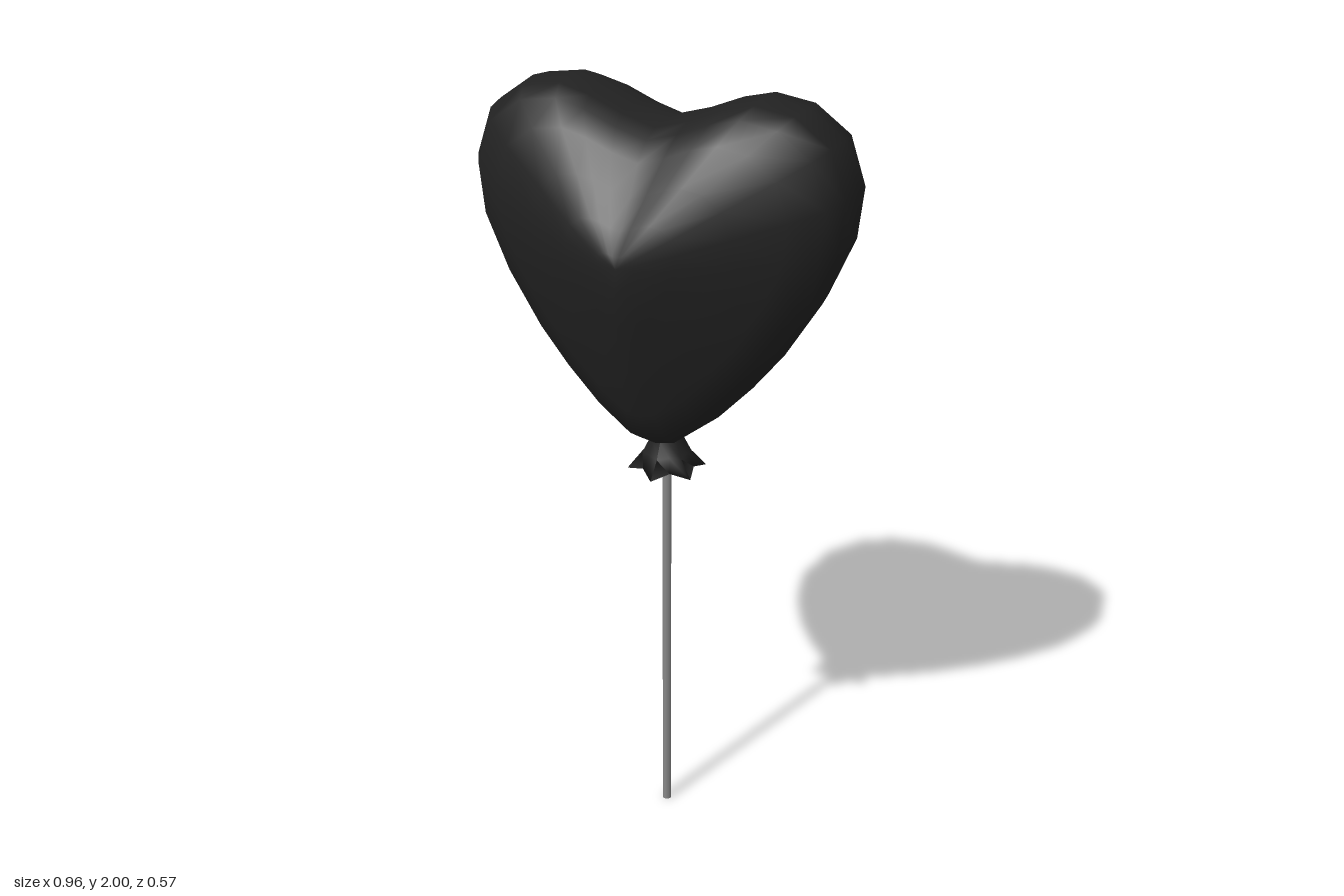
import * as THREE from 'three';
import { mergeVertices } from 'three/addons/utils/BufferGeometryUtils.js';

const CENTRE_Y = 1.64;

// Right half of the heart outline, from the top dip down to the tip
const HALF = [
  [0, 1.92], [0.085, 1.945], [0.17, 1.98], [0.25, 2.0], [0.35, 1.985], [0.44, 1.92], [0.48, 1.8],
  [0.465, 1.67], [0.4, 1.52], [0.31, 1.375], [0.23, 1.275], [0.14, 1.18], [0.05, 1.11], [0, 1.1],
];

// Swelling of the balloon: outline scale and half depth at that scale
const SWELL = [
  [0, 0.285], [0.1, 0.284], [0.29, 0.26], [0.52, 0.212], [0.77, 0.163], [0.92, 0.118], [0.98, 0.067], [1, 0],
];

function heartGeometry() {
  const outline = [...HALF, ...HALF.slice(1, -1).reverse().map(([x, y]) => [-x, y])];
  // Nested outlines running from the front centre over the rim to the back centre
  const layers = [...SWELL, ...SWELL.slice(0, -1).reverse().map(([s, z]) => [s, -z])];
  const n = outline.length, positions = [], index = [];
  for (const [s, z] of layers) {
    for (const [x, y] of outline) positions.push(x * s, CENTRE_Y + (y - CENTRE_Y) * s, z);
  }
  for (let i = 0; i < layers.length - 1; i++) {
    for (let j = 0; j < n; j++) {
      const k = (j + 1) % n;
      const a = i * n + j, a2 = i * n + k, b = a + n, b2 = a2 + n;
      if (i > 0) index.push(a, a2, b2);
      if (i < layers.length - 2) index.push(a, b2, b);
    }
  }
  let geometry = new THREE.BufferGeometry();
  geometry.setAttribute('position', new THREE.Float32BufferAttribute(positions, 3));
  geometry.setIndex(index);
  geometry = mergeVertices(geometry);
  geometry.computeVertexNormals();
  return geometry;
}

// Flared neck whose rim is pulled into six points
function neckGeometry() {
  const profile = [[0.012, 1.075], [0.1, 1.018], [0.062, 1.06], [0.042, 1.1], [0.038, 1.125]]
    .map(([r, y]) => new THREE.Vector2(r, y));
  const geometry = new THREE.LatheGeometry(profile, 12);
  const p = geometry.attributes.position;
  for (let i = 0; i < p.count; i++) {
    const x = p.getX(i), z = p.getZ(i), r = Math.hypot(x, z);
    const flare = THREE.MathUtils.clamp((r - 0.038) / 0.062, 0, 1);
    const k = 1 - 0.13 * flare * (1 - Math.cos(6 * Math.atan2(x, z)));
    p.setXYZ(i, x * k, p.getY(i) + (1 - k) * 0.05, z * k);
  }
  geometry.computeVertexNormals();
  return geometry;
}

export function createModel() {
  const group = new THREE.Group();
  const rubber = new THREE.MeshStandardMaterial({ color: 0x222222 });
  const neckRubber = new THREE.MeshStandardMaterial({ color: 0x222222, side: THREE.DoubleSide });
  const metal = new THREE.MeshStandardMaterial({ color: 0x888888 });

  const add = (name, geometry, material) => {
    const mesh = new THREE.Mesh(geometry, material);
    mesh.name = name;
    group.add(mesh);
    return mesh;
  };

  add('heartBalloon', heartGeometry(), rubber);
  add('balloonNeck', neckGeometry(), neckRubber);

  // Stick from the floor up into the neck
  add('stick', new THREE.CylinderGeometry(0.012, 0.012, 1.1, 8), metal).position.y = 0.55;

  return group;
}
